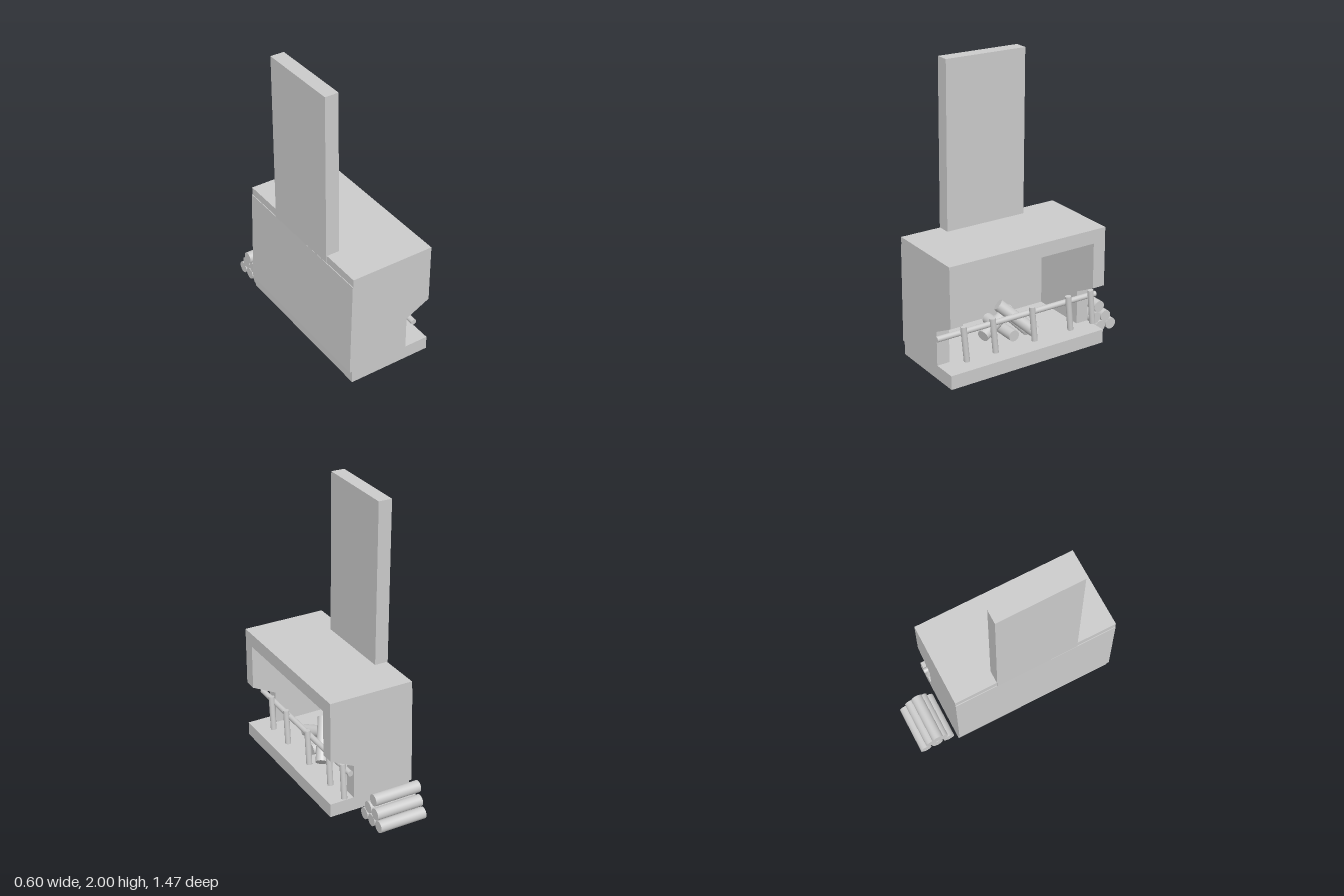
import * as THREE from 'three';

export function createModel() {
  const model = new THREE.Group();
  const material = new THREE.MeshStandardMaterial({ color: 0xcccccc });

  function add(name, geometry, parent = model) {
    const mesh = new THREE.Mesh(geometry, material);
    mesh.name = name;
    parent.add(mesh);
    return mesh;
  }

  // Box given by its minimum and maximum corners
  function box(name, min, max) {
    const size = max.map((v, i) => v - min[i]);
    const mesh = add(name, new THREE.BoxGeometry(...size));
    mesh.position.set(...max.map((v, i) => (v + min[i]) / 2));
    return mesh;
  }

  // Profile in x and y, extruded from z0 to z1
  function slab(name, points, z0, z1) {
    const shape = new THREE.Shape(points.map(p => new THREE.Vector2(...p)));
    const geometry = new THREE.ExtrudeGeometry(shape, { depth: z1 - z0, bevelEnabled: false });
    return add(name, geometry.translate(0, 0, z0));
  }

  // Round bar between two points
  function bar(name, from, to, radius, parent) {
    const a = new THREE.Vector3(...from);
    const b = new THREE.Vector3(...to);
    const mesh = add(name, new THREE.CylinderGeometry(radius, radius, a.distanceTo(b), 32), parent);
    mesh.position.copy(a).add(b).multiplyScalar(0.5);
    mesh.quaternion.setFromUnitVectors(new THREE.Vector3(0, 1, 0), b.sub(a).normalize());
    return mesh;
  }

  function group(name) {
    const g = new THREE.Group();
    g.name = name;
    model.add(g);
    return g;
  }

  // Hearth, top and side walls
  const zMin = -0.46, zMax = 0.71, wall = 0.09;
  box('hearth', [-0.285, 0.05, zMin], [0.3, 0.145, zMax]);
  box('mantelTop', [-0.285, 0.78, zMin], [0.3, 0.875, zMax]);
  const sideProfile = [
    [-0.285, 0.145], [0.13, 0.145], [0.13, 0.38],
    [0.3, 0.465], [0.3, 0.78], [-0.285, 0.78],
  ];
  slab('sideWall', sideProfile, zMin, zMin + wall);
  slab('sideWall', sideProfile, zMax - wall, zMax);

  // Slightly leaning back panel
  slab('backPanel', [[-0.284, 0.14], [-0.304, 0.14], [-0.29, 0.82], [-0.284, 0.82]], zMin, zMax);

  // Chimney, leaning a little along z
  const chimney = box('chimney', [-0.29, 0.82, -0.167], [-0.196, 1.998, 0.417]);
  chimney.rotation.x = -0.012;

  // Railing
  const railing = group('railing');
  bar('rail', [0.17, 0.35, -0.487], [0.17, 0.35, 0.735], 0.019, railing);
  for (const z of [0.543, 0.327, 0.026, -0.26, -0.44]) {
    bar('railPost', [0.195, 0.155, z - 0.011], [0.195, 0.4, z + 0.011], 0.02, railing);
  }

  // Logs in the fire
  const fire = group('fireLogs');
  bar('fireLog', [0.13, 0.175, -0.035], [0.0, 0.375, 0.17], 0.04, fire);
  bar('fireLog', [0.06, 0.215, 0.325], [-0.04, 0.3, 0.06], 0.04, fire);
  bar('fireLog', [0.12, 0.185, 0.125], [-0.2, 0.185, 0.125], 0.038, fire);
  bar('fireLog', [0.1, 0.183, 0.005], [-0.18, 0.26, 0.05], 0.036, fire);

  // Stack of spare logs beside the fireplace
  const stack = group('logStack');
  const logs = [
    [-0.517, 0.042], [-0.605, 0.042], [-0.692, 0.042],
    [-0.562, 0.115], [-0.648, 0.11], [-0.602, 0.186],
  ];
  logs.forEach(([z, y], i) => {
    const shift = i === 5 ? -0.013 : 0;
    bar('stackedLog', [-0.248 + shift, y, z], [0.085 + shift, y, z], 0.04, stack);
  });

  return model;
}
